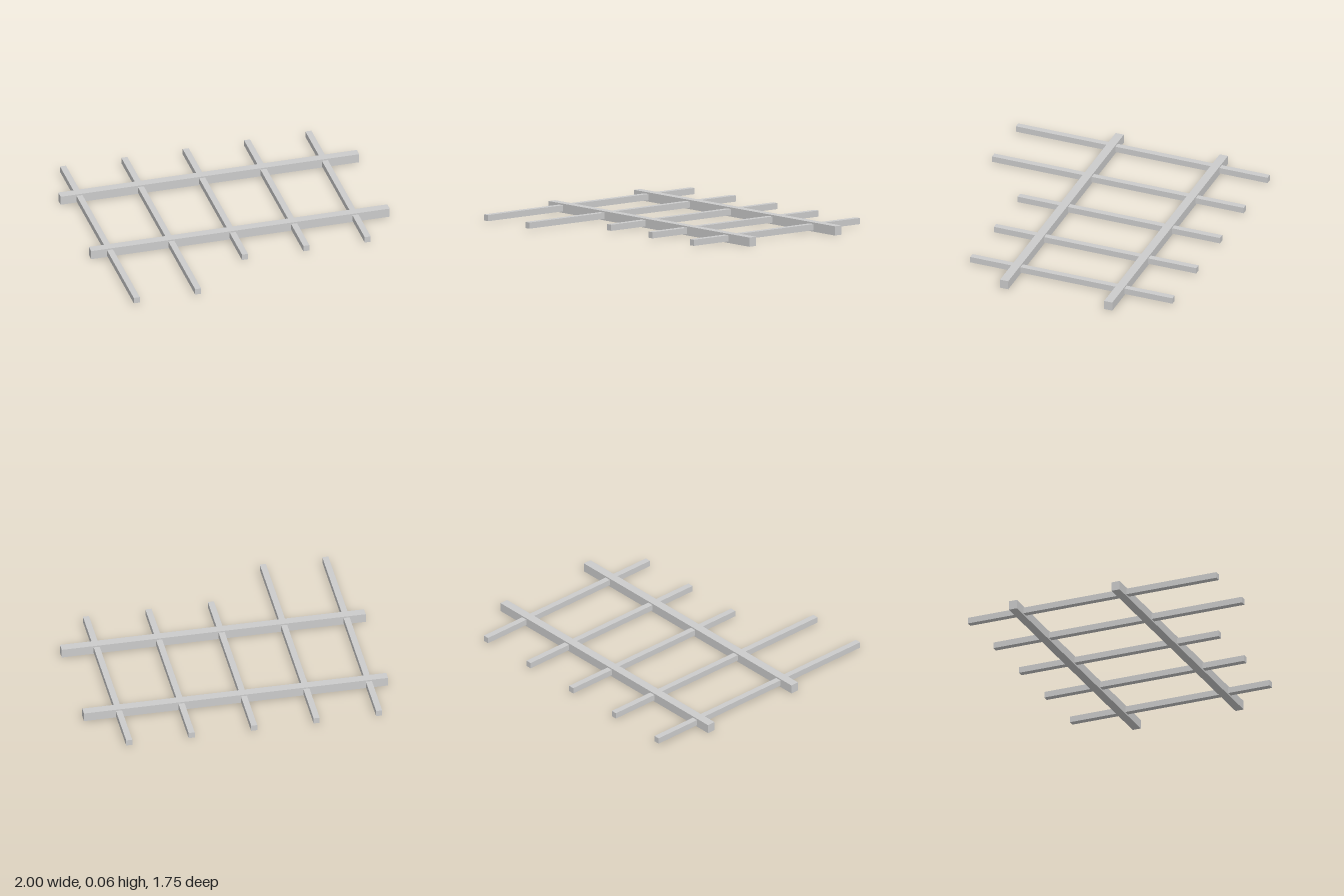
import * as THREE from 'three';

export function createModel() {
  const group = new THREE.Group();
  const material = new THREE.MeshStandardMaterial({ color: 0xcccccc, flatShading: true });
  const midY = 0.03;

  function addBar(name, width, height, depth, x, z) {
    const mesh = new THREE.Mesh(new THREE.BoxGeometry(width, height, depth), material);
    mesh.name = name;
    mesh.position.set(x, midY, z);
    group.add(mesh);
  }

  // Two thick beams running the full width
  [-0.512, 0.211].forEach((z, i) => addBar(`beam${i + 1}`, 2, 0.06, 0.057, 0, z));

  // Five thin crossbars passing through the beams; the two on the right reach further forward
  const back = -0.874;
  [0.874, 0.874, 0.531, 0.531, 0.531].forEach((front, i) => {
    addBar(`crossbar${i + 1}`, 0.04, 0.04, front - back, -0.874 + i * 0.411, (front + back) / 2);
  });

  return group;
}
